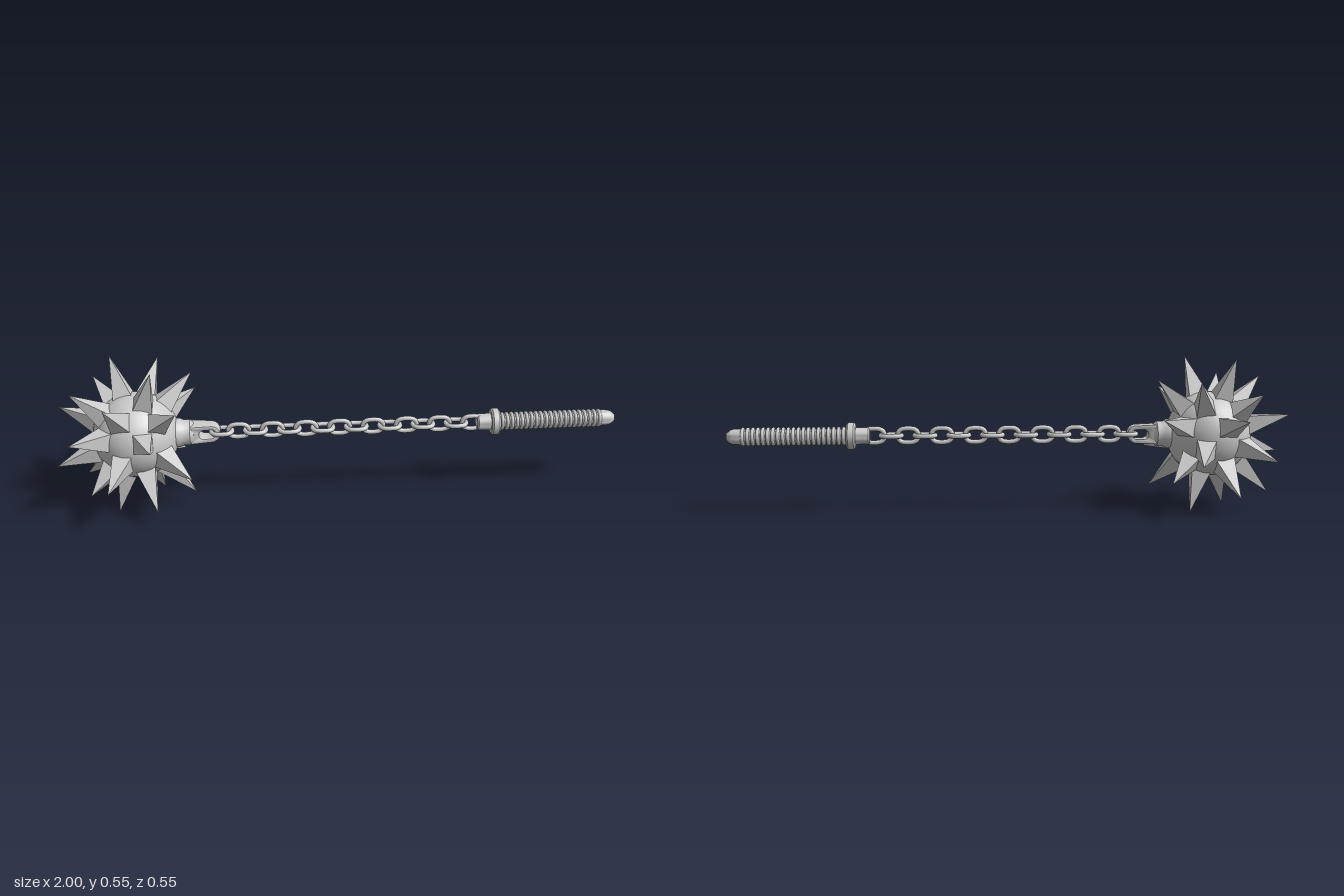
import * as THREE from 'three';
import { toCreasedNormals } from 'three/addons/utils/BufferGeometryUtils.js';

const material = new THREE.MeshStandardMaterial({ color: 0xcccccc });
const AXIS_Y = 0.276;
const BALL_X = -0.725;

function add(parent, name, geometry, x = 0) {
  const mesh = new THREE.Mesh(geometry, material);
  mesh.name = name;
  mesh.position.x = x;
  parent.add(mesh);
  return mesh;
}

// Turned part along x, from [x, radius] pairs
function turned(profile, segments = 24) {
  const points = profile.map(([x, r]) => new THREE.Vector2(r, x));
  const geometry = new THREE.LatheGeometry(points, segments).rotateZ(-Math.PI / 2);
  return toCreasedNormals(geometry, 0.6);
}

// Closed stadium-shaped chain link lying in the xy plane
function linkGeometry(halfLength, halfHeight, wire) {
  const r = halfHeight - wire;
  const s = halfLength - halfHeight;
  const points = [];
  for (const side of [1, -1]) {
    for (let i = 0; i <= 6; i++) {
      const a = -Math.PI / 2 + (i / 6) * Math.PI;
      points.push(new THREE.Vector3(side * (s + r * Math.cos(a)), side * r * Math.sin(a), 0));
    }
  }
  const curve = new THREE.CatmullRomCurve3(points, true, 'centripetal');
  return new THREE.TubeGeometry(curve, 36, wire, 8, true);
}

// Flat eye with a rounded end and a slot, tapering in thickness towards +x
function eyeGeometry() {
  const shape = new THREE.Shape();
  shape.moveTo(-0.06, -0.035);
  shape.lineTo(0.025, -0.033);
  shape.absarc(0.025, 0, 0.033, -Math.PI / 2, Math.PI / 2, false);
  shape.lineTo(-0.06, 0.035);
  shape.closePath();
  const hole = new THREE.Path();
  hole.absarc(0.024, 0, 0.017, -Math.PI / 2, Math.PI / 2, false);
  hole.absarc(0.0, 0, 0.017, Math.PI / 2, Math.PI * 1.5, false);
  hole.closePath();
  shape.holes.push(hole);
  const geometry = new THREE.ExtrudeGeometry(shape, {
    depth: 0.044, bevelEnabled: true, bevelSize: 0.004, bevelThickness: 0.006, bevelSegments: 2, bevelOffset: -0.004, curveSegments: 10,
  }).translate(0, 0, -0.022);
  const p = geometry.attributes.position;
  for (let i = 0; i < p.count; i++) p.setZ(i, p.getZ(i) * (0.95 - 4 * p.getX(i)));
  geometry.computeVertexNormals();
  return toCreasedNormals(geometry, 0.6);
}

// Spikes on every other point of a 4 x 4 x 4 cube lattice pushed out to a sphere
function addSpikes(parent) {
  const base = 0.125;
  const geometry = new THREE.ConeGeometry(0.053, 1, 4, 1).rotateY(Math.PI / 4).translate(0, 0.5, 0);
  const spike = toCreasedNormals(geometry.rotateX(Math.PI / 2), 0.1);
  const axes = [new THREE.Vector3(1, 0, 0), new THREE.Vector3(0, 1, 0), new THREE.Vector3(0, 0, 1)];
  for (let i = 0; i < 4; i++) for (let j = 0; j < 4; j++) for (let k = 0; k < 4; k++) {
    const cell = [i, j, k];
    const outer = cell.filter((c) => c === 0 || c === 3).length;
    if (outer === 0 || (i + j + k) % 2 === 0) continue;
    if (outer === 1 && i === 3) continue; // left clear for the chain mount
    const inner = outer === 1 ? 0.28 : 0.37;
    const dir = new THREE.Vector3(...cell.map((c) => [-1, -inner, inner, 1][c])).normalize();
    const tip = outer === 3 ? 0.27 : 0.295;
    const mesh = add(parent, 'spike', spike);
    // keep the square foot lined up with the lattice
    const up = axes[Math.max(0, cell.findIndex((c) => c === 1 || c === 2))];
    const z = dir;
    const x = new THREE.Vector3().crossVectors(up, z).normalize();
    const y = new THREE.Vector3().crossVectors(z, x);
    mesh.quaternion.setFromRotationMatrix(new THREE.Matrix4().makeBasis(x, y, z));
    mesh.position.copy(dir).multiplyScalar(base);
    mesh.scale.z = tip - base;
  }
}

export function createModel() {
  const model = new THREE.Group();
  model.name = 'flail';
  const body = new THREE.Group();
  body.name = 'body';
  body.position.y = AXIS_Y;
  model.add(body);

  // Spiked head
  const head = new THREE.Group();
  head.name = 'spikedHead';
  head.position.x = BALL_X;
  body.add(head);
  add(head, 'ball', new THREE.SphereGeometry(0.152, 28, 18));
  addSpikes(head);

  // Chain mount on the head
  add(body, 'headCollar', turned([
    [-0.6, 0], [-0.6, 0.052], [-0.57, 0.052], [-0.56, 0.046], [-0.535, 0.046], [-0.53, 0.04], [-0.522, 0.034], [-0.522, 0],
  ]));
  add(body, 'headEye', eyeGeometry(), -0.487);

  // Chain, each link turned a quarter from its neighbour
  const chain = new THREE.Group();
  chain.name = 'chain';
  body.add(chain);
  const link = linkGeometry(0.046, 0.033, 0.0085);
  for (let i = 0; i < 16; i++) {
    const mesh = add(chain, 'chainLink', link, -0.425 + 0.06 * i);
    if (i % 2 === 0) mesh.rotation.x = Math.PI / 2;
  }

  // Handle
  const handle = new THREE.Group();
  handle.name = 'handle';
  body.add(handle);
  add(handle, 'handleSocket', turned([[0.49, 0], [0.49, 0.025], [0.495, 0.029], [0.55, 0.031], [0.55, 0]]));
  add(handle, 'handleCollar', turned([
    [0.54, 0], [0.54, 0.042], [0.546, 0.048], [0.566, 0.048], [0.572, 0.042], [0.572, 0],
  ]));
  add(handle, 'gripCore', turned([[0.56, 0], [0.56, 0.025], [0.95, 0.025], [0.95, 0]]));
  const rib = new THREE.TorusGeometry(0.027, 0.0065, 8, 24).rotateY(Math.PI / 2);
  for (let i = 0; i < 21; i++) add(handle, 'gripRib', rib, 0.582 + 0.0177 * i);
  add(handle, 'pommel', turned([
    [0.942, 0], [0.942, 0.029], [0.972, 0.027], [0.982, 0.023], [0.994, 0.012], [0.996, 0],
  ]));
  return model;
}
